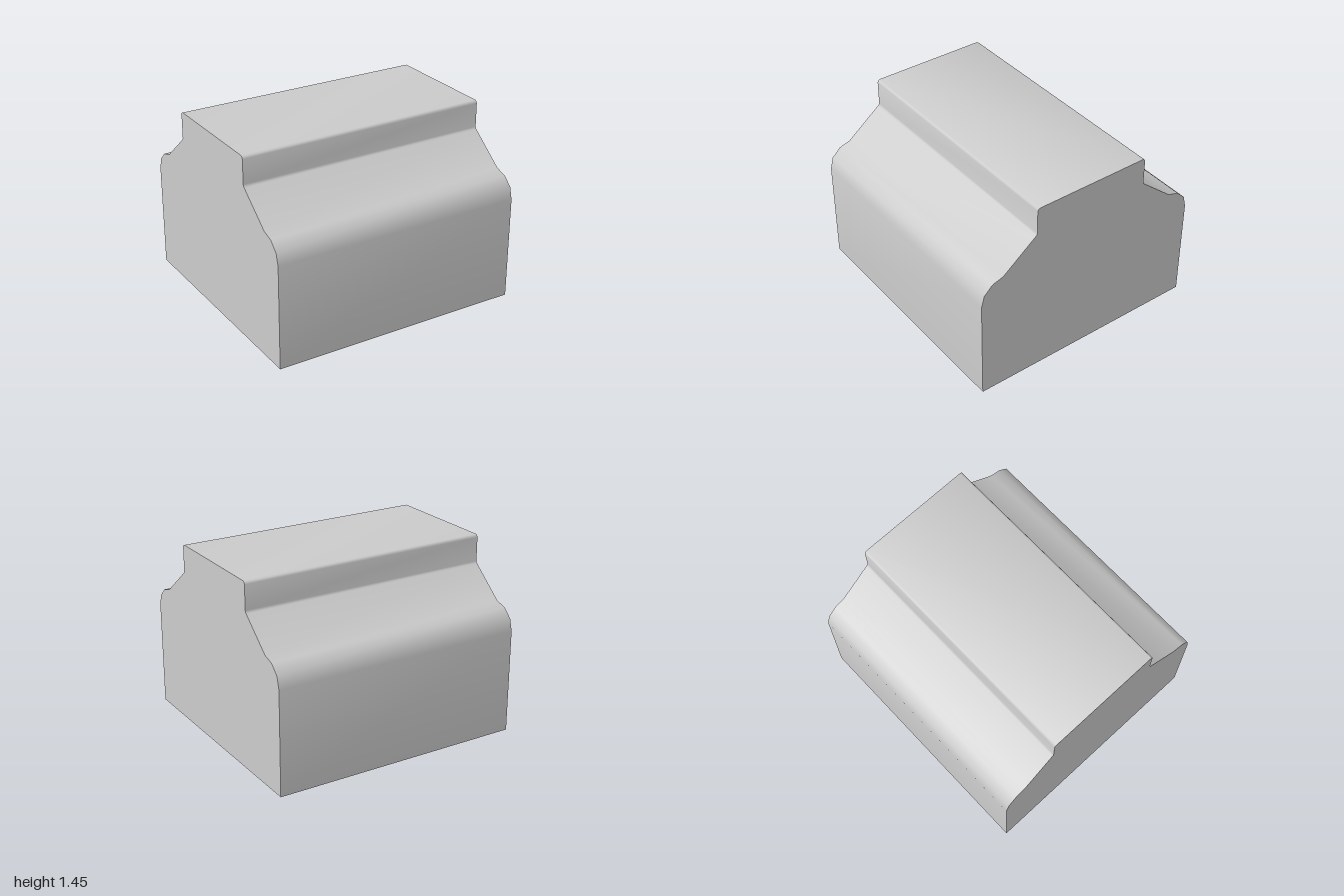
import * as THREE from 'three';
import { toCreasedNormals } from 'three/addons/utils/BufferGeometryUtils.js';

// Half profile as [depth, height] from the floor up to the top edge;
// neck is the depth of the narrow upper block on that side.
const halfProfile = (neck) => [
  [0.945, 0], [0.945, 0.817], [0.921, 0.91], [0.851, 0.978], [0.76, 1.005], // rounded shoulder
  [neck + 0.014, 1.22], [neck + 0.004, 1.228], [neck, 1.24],                // slope into neck
  [neck, 1.43], [neck - 0.006, 1.445], [neck - 0.021, 1.452],               // rounded top edge
];

export function createModel() {
  const model = new THREE.Group();
  const back = halfProfile(0.489);
  const front = halfProfile(0.471).map(([d, y]) => [-d, y]).reverse();
  const shape = new THREE.Shape([...back, ...front].map(([d, y]) => new THREE.Vector2(d, y)));

  // Run the profile along x
  const geometry = new THREE.ExtrudeGeometry(shape, { depth: 2, bevelEnabled: false });
  geometry.translate(0, 0, -1).rotateY(Math.PI / 2);

  const body = new THREE.Mesh(
    toCreasedNormals(geometry, THREE.MathUtils.degToRad(46)),
    new THREE.MeshStandardMaterial({ color: 0xcccccc }),
  );
  body.name = 'mouldedBlock';
  model.add(body);
  return model;
}
